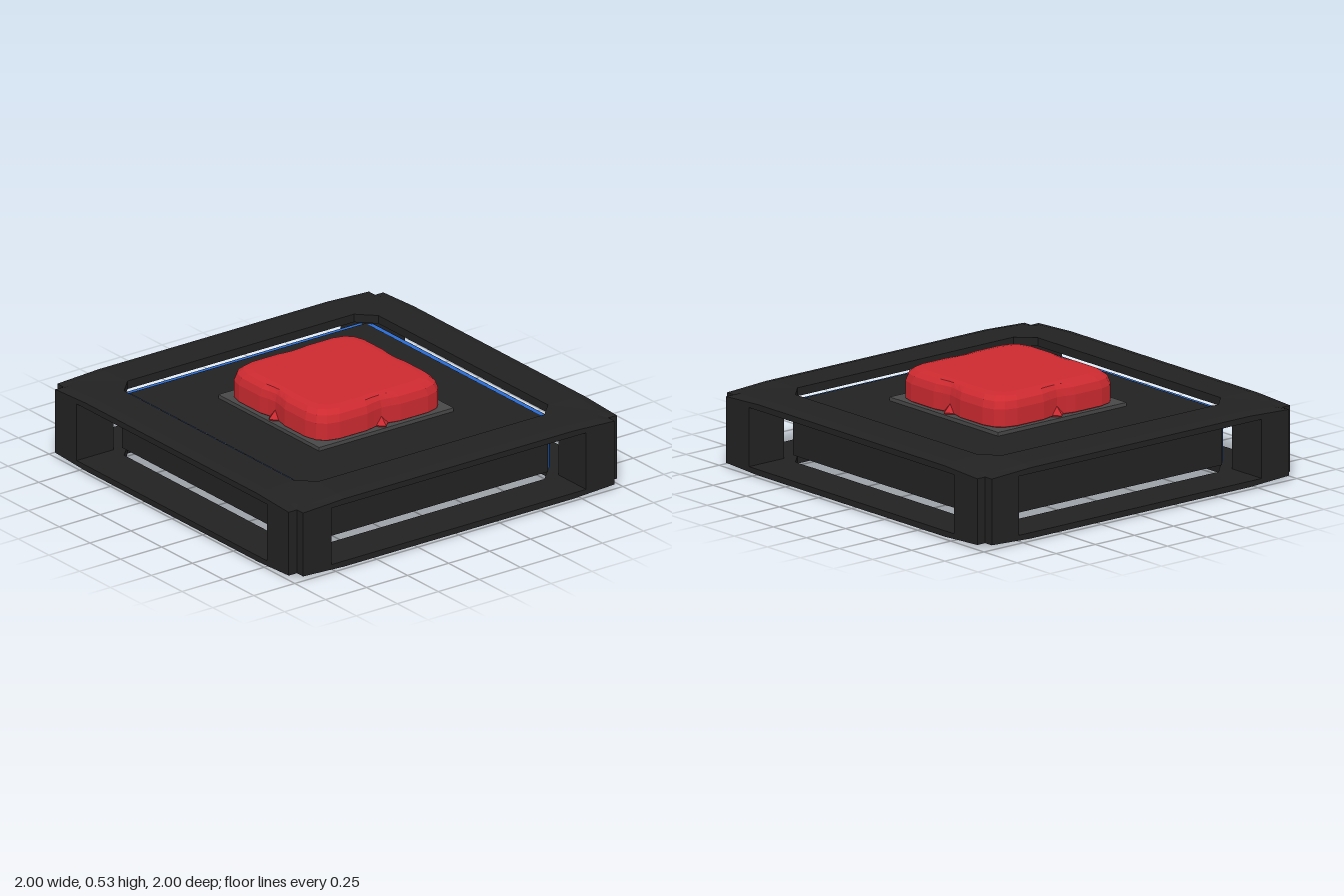
import * as THREE from 'three';
import { ConvexGeometry } from 'three/addons/geometries/ConvexGeometry.js';

const MID = 0.1925; // half height of the frame
const paint = (color) => new THREE.MeshStandardMaterial({ color, flatShading: true });

// Repeat one side's [x, z, y] points around the four sides
function ring(side) {
  const pts = [];
  for (let k = 0; k < 4; k++) {
    for (let [x, z, y] of side) {
      for (let i = 0; i < k; i++) [x, z] = [-z, x];
      pts.push([x, y, z]);
    }
  }
  return pts;
}

// Skin a list of loops that all have the same number of points
function loft(loops) {
  const pos = [];
  for (let l = 0; l + 1 < loops.length; l++) {
    const a = loops[l], b = loops[l + 1], n = a.length;
    for (let i = 0; i < n; i++) {
      const j = (i + 1) % n;
      pos.push(...a[i], ...a[j], ...b[i], ...a[j], ...b[j], ...b[i]);
    }
  }
  const g = new THREE.BufferGeometry();
  g.setAttribute('position', new THREE.Float32BufferAttribute(pos, 3));
  g.computeVertexNormals();
  return g;
}

export function createModel() {
  const model = new THREE.Group();
  const dark = paint(0x222222), blue = paint(0x2a70e0), grey = paint(0x484848), red = paint(0xcc2a30);
  const add = (name, geometry, material, x = 0, y = 0, z = 0) => {
    const mesh = new THREE.Mesh(geometry, material);
    mesh.name = name;
    mesh.position.set(x, y, z);
    model.add(mesh);
    return mesh;
  };

  // Top and bottom rims: square rings with dropped, notched corners
  const inner = (y) => ring([[0.775, -0.69, y], [0.775, 0.69, y], [0.775, 0.69, y], [0.732, 0.732, y], [0.69, 0.775, y]]);
  const crown = ring([[0.95, -0.7, MID], [0.95, 0.7, MID], [0.95, 0.89, 0.182], [0.91, 0.91, 0.182], [0.89, 0.95, 0.182]]);
  const outer = (y, c) => ring([[1, -0.7, y], [1, 0.7, y], [1, 0.95, c], [0.95, 0.95, c], [0.95, 1, c]]);
  const rim = loft([inner(0.15), inner(MID), crown, outer(0.18, 0.168), outer(0.15, 0.15), inner(0.15)]);
  add('topRim', rim, dark, 0, MID, 0);
  add('bottomRim', rim, dark, 0, MID, 0).rotation.x = Math.PI;

  // Corner posts joining the rims
  const plan = new THREE.Shape([
    [0.775, 0.775], [1, 0.775], [1, 0.95], [0.95, 0.95], [0.95, 1], [0.775, 1],
  ].map(([x, y]) => new THREE.Vector2(x, y)));
  const post = new THREE.ExtrudeGeometry(plan, { depth: 0.31, bevelEnabled: false });
  post.rotateX(-Math.PI / 2);
  for (let k = 0; k < 4; k++) {
    add('cornerPost', post, dark, 0, MID - 0.155, 0).rotation.y = k * Math.PI / 2;
  }

  // Core: dark face panels on a block with bevelled blue edges
  const W = 1.53, P = 1.44, H = 0.292, S = 0.265, coreY = 0.202;
  const sizes = [[P, H, P], [W, S, P], [P, S, W]];
  const corners = [];
  for (const [w, h, d] of sizes) {
    add('corePanel', new THREE.BoxGeometry(w, h, d), dark, 0, coreY, 0);
    for (const sx of [-1, 1]) for (const sy of [-1, 1]) for (const sz of [-1, 1]) {
      corners.push(new THREE.Vector3(sx * (w / 2 - 0.001), sy * (h / 2 - 0.001), sz * (d / 2 - 0.001)));
    }
  }
  add('coreEdges', new ConvexGeometry(corners), blue, 0, coreY, 0);

  // Pad under the button
  add('buttonPad', new THREE.BoxGeometry(0.82, 0.03, 0.82), grey, 0, 0.352, 0);

  // Button: rounded square with a dip in the middle of each side
  const level = (s, y, dip) => ring([
    [0.39 - dip, 0], [0.388 - dip * 0.5, 0.05], [0.39, 0.1], [0.39, 0.27], [0.372, 0.335],
    [0.335, 0.372], [0.27, 0.39], [0.1, 0.39], [0.05, 0.388 - dip * 0.5],
  ].map(([x, z]) => [x * s, z * s, y]));
  add('button', loft([
    level(0, 0.527, 0), level(0.82, 0.525, 0), level(0.91, 0.518, 0.01), level(0.97, 0.497, 0.018),
    level(1, 0.46, 0.02), level(1, 0.372, 0.02), level(0.95, 0.36, 0.02), level(0, 0.36, 0),
  ]), red);

  // Small pointed catches below the dips
  const catchGeo = new THREE.OctahedronGeometry(0.045);
  for (const [x, z] of [[1, 0], [-1, 0], [0, 1], [0, -1]]) {
    add('buttonCatch', catchGeo, red, x * 0.365, 0.375, z * 0.365);
  }
  return model;
}
